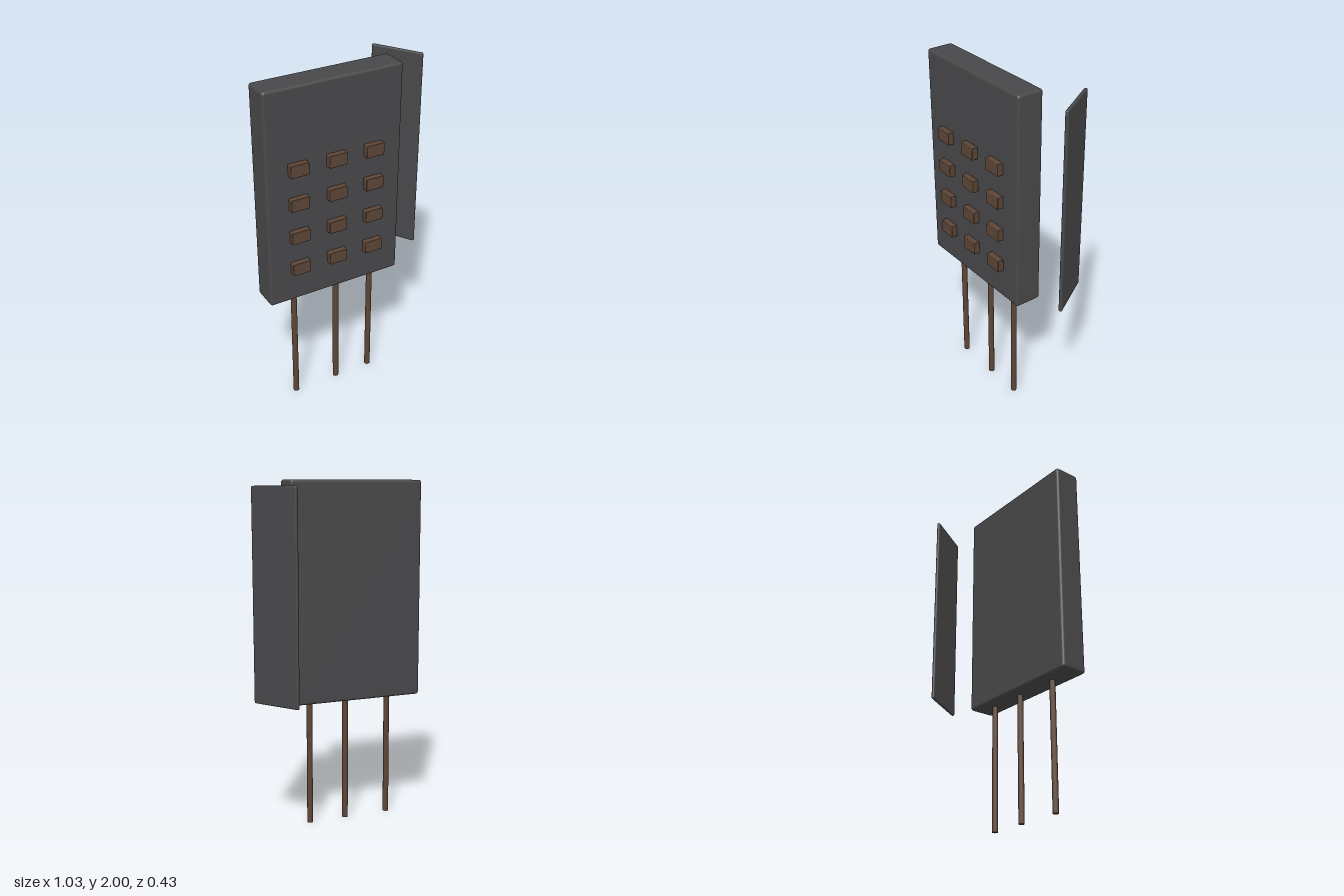
import * as THREE from 'three';
import { RoundedBoxGeometry } from 'three/addons/geometries/RoundedBoxGeometry.js';

export function createModel() {
  const model = new THREE.Group();
  const dark = new THREE.MeshStandardMaterial({ color: 0x48484a });
  const brown = new THREE.MeshStandardMaterial({ color: 0x5c4536 });

  const add = (parent, name, geometry, material, x, y, z) => {
    const mesh = new THREE.Mesh(geometry, material);
    mesh.name = name;
    mesh.position.set(x, y, z);
    parent.add(mesh);
    return mesh;
  };
  const group = (name) => {
    const g = new THREE.Group();
    g.name = name;
    model.add(g);
    return g;
  };

  // Main slab with softly rounded edges
  add(model, 'body', new RoundedBoxGeometry(0.814, 1.267, 0.158, 3, 0.016), dark, -0.11, 1.3665, 0.099);

  // Grid of raised buttons on the front face
  const buttons = group('buttons');
  const buttonGeometry = new RoundedBoxGeometry(0.108, 0.072, 0.037, 2, 0.004);
  for (const y of [0.95, 1.15, 1.35, 1.55]) {
    for (const x of [-0.337, -0.11, 0.117]) {
      add(buttons, 'button', buttonGeometry, brown, x, y, 0.196);
    }
  }

  // Three thin legs running up into the slab
  const legs = group('legs');
  const legGeometry = new THREE.CylinderGeometry(0.017, 0.017, 0.76, 12);
  for (const x of [-0.338, -0.065, 0.162]) {
    add(legs, 'leg', legGeometry, brown, x, 0.38, 0.099);
  }

  // Separate thin panel, swung back like an open door
  const panel = add(model, 'sidePanel', new RoundedBoxGeometry(0.307, 1.195, 0.02, 3, 0.009), dark, 0.429, 1.3675, -0.083);
  panel.rotation.y = -1.02;

  return model;
}
